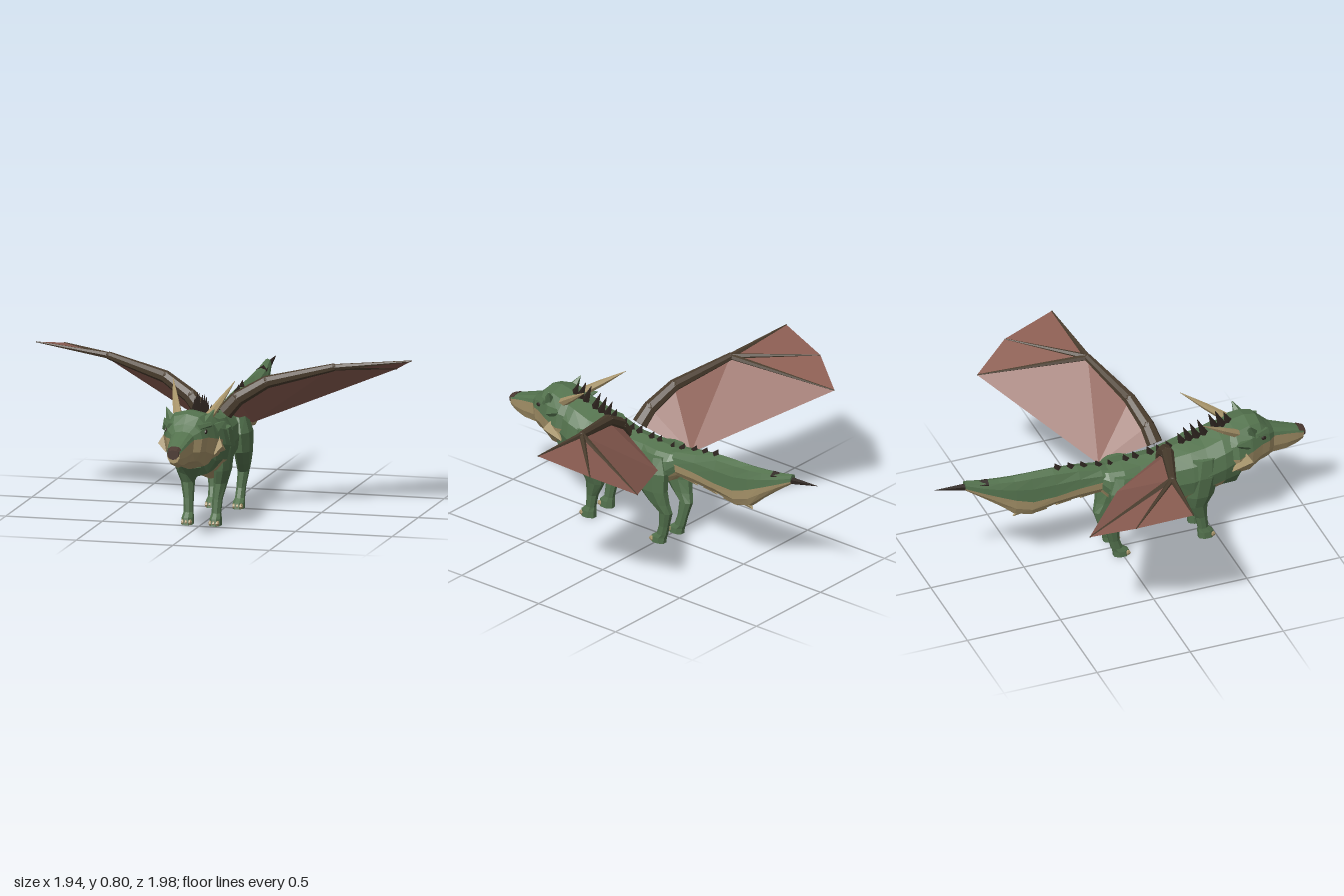
import * as THREE from 'three';

const V = (x, y, z) => new THREE.Vector3(x, y, z);
const mat = (name, color, side = THREE.FrontSide) =>
  Object.assign(new THREE.MeshStandardMaterial({ color, side }), { name });

export function createModel() {
  const root = new THREE.Group();
  root.name = 'wingedWolfDragon';
  const green = mat('green hide', 0x54734e);
  const cream = mat('cream underside', 0xab976c);
  const membrane = mat('wing membrane', 0x8b5d52, THREE.DoubleSide);
  const bone = mat('wing bone', 0x4a3d2e);
  const dark = mat('dark spines', 0x2c231e);
  const nose = mat('nose', 0x4c3a32);

  // Faceted mesh from an ordinary geometry
  function add(parent, name, geo, material) {
    const g = geo.index ? geo.toNonIndexed() : geo;
    g.computeVertexNormals();
    const m = new THREE.Mesh(g, material);
    m.name = name;
    parent.add(m);
    return m;
  }

  // Closed skin over a list of rings; pick(row, column) gives 0 or 1 for the material
  function loft(parent, name, rings, mats, pick = () => 0) {
    const tris = [[], []];
    const n = rings[0].length;
    let volume = 0;
    const tri = (k, a, b, c) => {
      tris[k].push([a, b, c]);
      volume += a.dot(b.clone().cross(c));
    };
    for (let i = 0; i < rings.length - 1; i++) {
      for (let j = 0; j < n; j++) {
        const a = rings[i][j], b = rings[i][(j + 1) % n];
        const c = rings[i + 1][(j + 1) % n], d = rings[i + 1][j];
        tri(pick(i, j), a, b, c);
        tri(pick(i, j), a, c, d);
      }
    }
    [0, rings.length - 1].forEach((i) => {
      const mid = rings[i].reduce((s, p) => s.add(p), V(0, 0, 0)).divideScalar(n);
      for (let j = 0; j < n; j++) {
        const p = rings[i][j], q = rings[i][(j + 1) % n];
        if (i === 0) tri(pick(0, j), mid, q, p);
        else tri(pick(i - 1, j), mid, p, q);
      }
    });
    const g = new THREE.BufferGeometry();
    const pos = [];
    tris.forEach((list, k) => {
      if (list.length) g.addGroup(pos.length / 3, list.length * 3, k);
      list.forEach(([a, b, c]) => (volume > 0 ? [a, b, c] : [a, c, b])
        .forEach((p) => pos.push(p.x, p.y, p.z)));
    });
    g.setAttribute('position', new THREE.Float32BufferAttribute(pos, 3));
    return add(parent, name, g, mats);
  }

  // Rings along z: [z, top, middle, bottom, half width]
  const trunkRings = (rows) => rows.map(([z, top, mid, bot, w]) =>
    Array.from({ length: 12 }, (_, j) => {
      const a = (j / 12) * Math.PI * 2, s = Math.sin(a), c = Math.cos(a);
      const y = s > 0 ? mid + (top - mid) * s : mid + (mid - bot) * s;
      return V(w * Math.sign(c) * Math.pow(Math.abs(c), 0.8), y, z);
    }));
  // Rings along y: [y, x, z, half width, half depth]
  const limbRings = (rows, s) => rows.map(([y, x, z, rx, rz]) =>
    Array.from({ length: 8 }, (_, j) => {
      const a = ((j + 0.5) / 8) * Math.PI * 2;
      return V(s * (x + rx * Math.cos(a)), y, z + rz * Math.sin(a));
    }));

  // Tapered rod between two points, optionally flattened sideways
  function rod(parent, name, a, b, ra, rb, material, sides = 8, flat = 1) {
    const d = b.clone().sub(a);
    const g = new THREE.CylinderGeometry(rb, ra, d.length(), sides);
    g.scale(flat, 1, 1);
    g.applyQuaternion(new THREE.Quaternion().setFromUnitVectors(V(0, 1, 0), d.normalize()));
    const c = a.clone().add(b).multiplyScalar(0.5);
    g.translate(c.x, c.y, c.z);
    return add(parent, name, g, material);
  }

  // Trunk with pale belly
  loft(root, 'body', trunkRings([
    [-0.11, 0.5, 0.45, 0.38, 0.06], [-0.07, 0.51, 0.42, 0.34, 0.1],
    [0.01, 0.515, 0.4, 0.3, 0.122], [0.1, 0.52, 0.39, 0.26, 0.105],
    [0.2, 0.525, 0.38, 0.22, 0.105], [0.28, 0.535, 0.38, 0.2, 0.13],
    [0.36, 0.55, 0.39, 0.24, 0.148], [0.44, 0.56, 0.41, 0.26, 0.153],
    [0.53, 0.59, 0.43, 0.28, 0.15], [0.61, 0.605, 0.45, 0.27, 0.13], [0.66, 0.6, 0.46, 0.34, 0.1],
  ]), [green, cream], (i, j) => (i < 8 && j >= 7 && j <= 10 ? 1 : 0));

  // Head: green crown, pale cheeks and muzzle
  loft(root, 'head', trunkRings([
    [0.55, 0.58, 0.46, 0.37, 0.12], [0.6, 0.615, 0.47, 0.33, 0.153],
    [0.68, 0.63, 0.49, 0.325, 0.135], [0.74, 0.62, 0.505, 0.36, 0.112],
    [0.785, 0.575, 0.505, 0.37, 0.095], [0.82, 0.545, 0.505, 0.375, 0.062],
    [0.9, 0.515, 0.49, 0.375, 0.05], [0.96, 0.495, 0.475, 0.395, 0.04], [0.99, 0.48, 0.465, 0.415, 0.034],
  ]), [green, cream], (i, j) => (j >= 6 ? 1 : 0));
  loft(root, 'nose', trunkRings([
    [0.965, 0.498, 0.47, 0.445, 0.038], [1.0, 0.483, 0.465, 0.435, 0.03],
  ]), [nose]);

  // Tail with pale lower half and dark tip
  loft(root, 'tail', trunkRings([
    [-0.02, 0.5, 0.45, 0.38, 0.07], [-0.1, 0.52, 0.455, 0.37, 0.068],
    [-0.22, 0.545, 0.445, 0.365, 0.062], [-0.35, 0.56, 0.425, 0.355, 0.058],
    [-0.47, 0.565, 0.42, 0.32, 0.055], [-0.56, 0.565, 0.45, 0.345, 0.052],
    [-0.64, 0.57, 0.485, 0.415, 0.046], [-0.73, 0.58, 0.525, 0.485, 0.036],
    [-0.82, 0.6, 0.565, 0.55, 0.02],
  ]), [green, cream], (i, j) => (j >= 6 ? 1 : 0));
  rod(root, 'tailTip', V(0, 0.55, -0.7), V(0, 0.585, -0.98), 0.032, 0.001, dark, 6);
  rod(root, 'chestTuft', V(0, 0.34, 0.63), V(0, 0.245, 0.61), 0.06, 0.004, green, 6);
  // Ragged fringe beneath the tail
  [[-0.17, 0.37], [-0.3, 0.36], [-0.43, 0.34], [-0.53, 0.35]].forEach(([z, y]) =>
    rod(root, 'tailFringe', V(0, y + 0.02, z + 0.03), V(0, y - 0.025, z - 0.03), 0.035, 0.002, cream, 5));

  // Back spines, tall on the neck and small toward the tail: [z, base height, length]
  [[0.6, 0.6, 0.07], [0.565, 0.59, 0.1], [0.53, 0.58, 0.1], [0.47, 0.56, 0.1], [0.43, 0.55, 0.1],
    [0.39, 0.545, 0.09], [0.35, 0.54, 0.065], [0.28, 0.525, 0.05], [0.23, 0.515, 0.05],
    [0.18, 0.515, 0.05], [0.1, 0.51, 0.045], [0.05, 0.505, 0.045], [-0.03, 0.49, 0.05],
    [-0.1, 0.51, 0.04], [-0.18, 0.525, 0.04], [-0.25, 0.54, 0.035], [-0.32, 0.55, 0.035],
  ].forEach(([z, y, h]) =>
    rod(root, 'backSpine', V(0, y, z), V(0, y + h, z - h * 0.4), 0.024, 0.001, dark, 4, 0.7));

  for (const s of [1, -1]) {
    const side = s > 0 ? 'left' : 'right';
    const P = (x, y, z) => V(s * x, y, z);

    // Legs and toes
    loft(root, side + 'FrontLeg', limbRings([
      [0.5, 0.1, 0.43, 0.045, 0.07], [0.4, 0.105, 0.42, 0.052, 0.085],
      [0.28, 0.1, 0.405, 0.042, 0.075], [0.21, 0.085, 0.395, 0.034, 0.055],
      [0.13, 0.075, 0.42, 0.026, 0.033], [0.06, 0.072, 0.432, 0.024, 0.028],
      [0.035, 0.072, 0.445, 0.03, 0.042], [0, 0.072, 0.45, 0.031, 0.045],
    ], s), [green]);
    loft(root, side + 'HindLeg', limbRings([
      [0.48, 0.08, 0.02, 0.04, 0.07], [0.4, 0.095, 0.02, 0.05, 0.105],
      [0.3, 0.098, 0.01, 0.045, 0.09], [0.23, 0.09, -0.025, 0.036, 0.062],
      [0.18, 0.08, -0.06, 0.029, 0.038], [0.1, 0.072, -0.045, 0.024, 0.029],
      [0.05, 0.07, -0.03, 0.025, 0.032], [0.03, 0.07, -0.01, 0.03, 0.043], [0, 0.07, -0.005, 0.031, 0.045],
    ], s), [green]);
    for (const z of [0.475, 0.02]) {
      for (const dx of [-0.018, 0, 0.018]) {
        const toe = new THREE.SphereGeometry(0.014, 6, 4);
        toe.scale(0.75, 1, 1.4);
        toe.translate(s * (0.071 + dx), 0.0145, z);
        add(root, side + 'Toe', toe, cream);
      }
    }

    // Horns, ears, cheek tufts, brows and eyes
    rod(root, side + 'HornBase', P(0.075, 0.575, 0.62), P(0.115, 0.645, 0.52), 0.024, 0.017, cream, 6);
    rod(root, side + 'Horn', P(0.115, 0.645, 0.52), P(0.16, 0.73, 0.4), 0.017, 0.001, cream, 6);
    rod(root, side + 'Ear', P(0.085, 0.565, 0.69), P(0.125, 0.635, 0.665), 0.034, 0.002, green, 5);
    rod(root, side + 'CheekTuft', P(0.12, 0.45, 0.65), P(0.152, 0.41, 0.56), 0.05, 0.002, cream, 5);
    rod(root, side + 'TempleTuft', P(0.115, 0.53, 0.65), P(0.157, 0.56, 0.58), 0.035, 0.002, green, 5);
    rod(root, side + 'Brow', P(0.075, 0.56, 0.775), P(0.115, 0.565, 0.7), 0.017, 0.014, green, 5);
    const eye = new THREE.SphereGeometry(0.014, 6, 4);
    eye.scale(0.5, 0.8, 1.3);
    eye.translate(s * 0.103, 0.535, 0.745);
    add(root, side + 'Eye', eye, dark);

    // Wing
    const wing = new THREE.Group();
    wing.name = side + 'Wing';
    root.add(wing);
    const shoulder = P(0.06, 0.53, 0.225), upper = P(0.12, 0.6, 0.21), elbow = P(0.26, 0.685, 0.17);
    const wrist = P(0.58, 0.757, 0.07), hip = P(0.13, 0.43, -0.05);
    const tips = [P(0.97, 0.8, 0.03), P(0.9, 0.745, -0.25), P(0.77, 0.66, -0.45)];
    const arm = [shoulder, upper, elbow, wrist], radii = [0.042, 0.038, 0.032, 0.02];
    for (let i = 0; i < 3; i++) {
      rod(wing, 'armBone', arm[i], arm[i + 1], radii[i], radii[i + 1], bone);
      const joint = new THREE.SphereGeometry(radii[i + 1], 8, 6);
      joint.translate(...arm[i + 1].toArray());
      add(wing, 'armJoint', joint, bone);
    }
    tips.forEach((t) => rod(wing, 'fingerBone', wrist, t, 0.017, 0.003, bone, 6));
    const skin = new THREE.BufferGeometry().setFromPoints([
      wrist, tips[0], tips[1], wrist, tips[1], tips[2], wrist, tips[2], hip,
      wrist, hip, elbow, elbow, hip, upper, upper, hip, shoulder,
    ]);
    add(wing, 'wingMembrane', skin, membrane);
  }
  return root;
}
